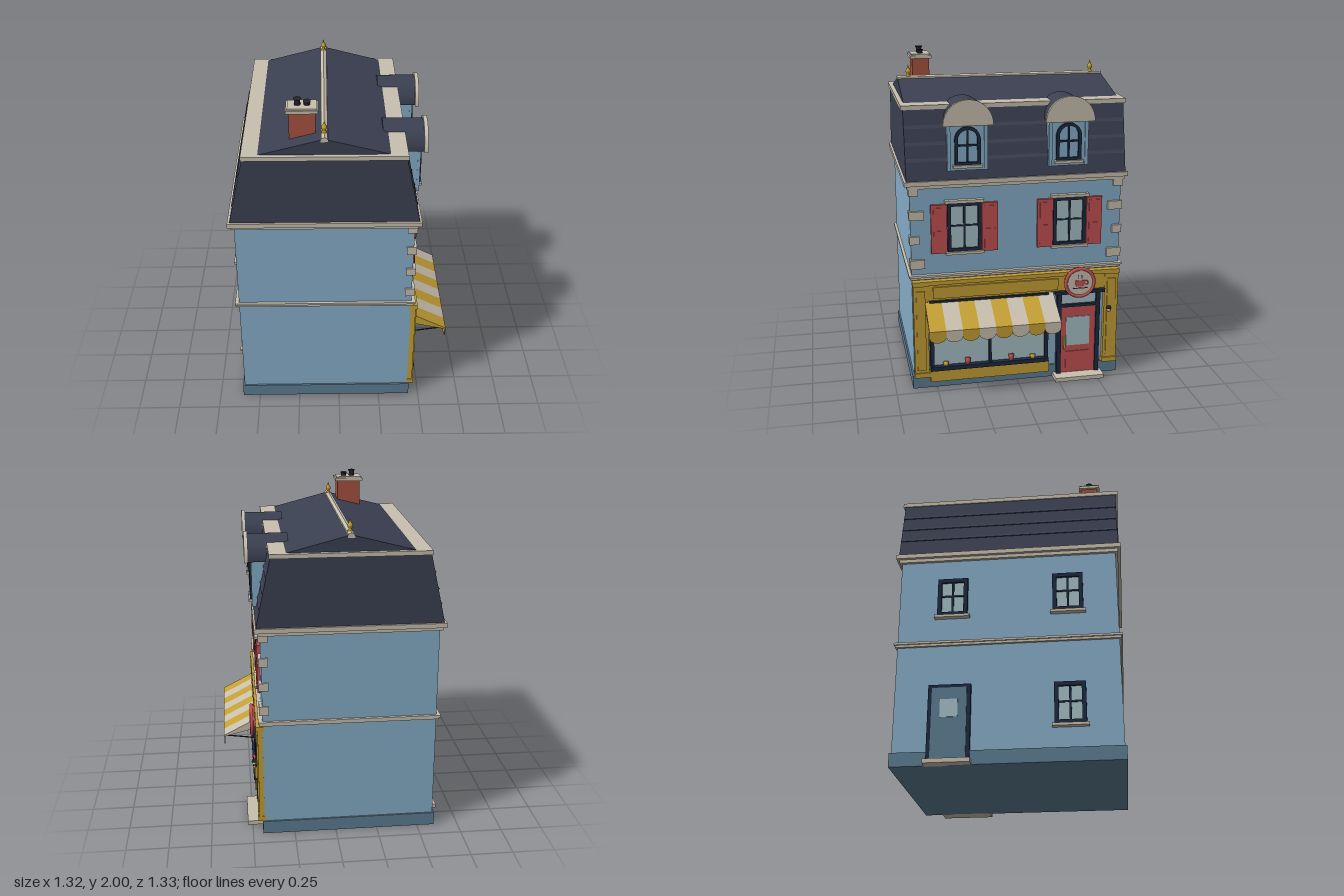
import * as THREE from 'three';

const mat = (name, color) => {
  const m = new THREE.MeshStandardMaterial({ color });
  m.name = name;
  return m;
};

export function createModel() {
  const blue = mat('wallBlue', 0x86adc8), plinth = mat('plinthBlue', 0x5d7d93), cream = mat('creamStone', 0xc8bfae);
  const gold = mat('mustard', 0xc4a034), navy = mat('navy', 0x1e2a40), slate = mat('slate', 0x3b4052);
  const red = mat('red', 0xc25152), brick = mat('brick', 0xa6533f), glass = mat('glass', 0xa6bfc6), black = mat('iron', 0x25262d);
  const root = new THREE.Group();

  const add = (name, geo, m, parent = root) => {
    const mesh = new THREE.Mesh(geo, m);
    mesh.name = name;
    parent.add(mesh);
    return mesh;
  };
  const group = (name) => {
    const g = new THREE.Group();
    g.name = name;
    root.add(g);
    return g;
  };
  // Box from its limits on each axis
  const box = (name, m, x0, x1, y0, y1, z0, z1, parent) =>
    add(name, new THREE.BoxGeometry(x1 - x0, y1 - y0, Math.abs(z1 - z0))
      .translate((x0 + x1) / 2, (y0 + y1) / 2, (z0 + z1) / 2), m, parent);
  const poly = (pts) => new THREE.Shape(pts.map(([x, y]) => new THREE.Vector2(x, y)));
  const extrude = (shape, depth) =>
    new THREE.ExtrudeGeometry(shape, { depth, bevelEnabled: false, curveSegments: 20 });
  // Profile in x-y, run along z
  const alongZ = (name, m, pts, z0, z1, parent) =>
    add(name, extrude(poly(pts), z1 - z0).translate(0, 0, z0), m, parent);
  // Outline drawn on a plane facing +x (u = -z), run along x
  const alongX = (name, m, shape, x0, x1, z, parent) =>
    add(name, extrude(shape, x1 - x0).rotateY(Math.PI / 2).translate(x0, 0, z), m, parent);
  const rod = (name, m, a, b, r, parent) =>
    add(name, new THREE.TubeGeometry(new THREE.LineCurve3(new THREE.Vector3(...a), new THREE.Vector3(...b)), 1, r, 6), m, parent);
  const lathe = (name, m, pts, x, y, z, parent) =>
    add(name, new THREE.LatheGeometry(pts.map(([r, h]) => new THREE.Vector2(r, h)), 16).translate(x, y, z), m, parent);

  // Walls, plinth and string courses
  box('walls', blue, -0.595, 0.43, 0.02, 1.28, -0.635, 0.635);
  box('plinth', plinth, -0.605, 0.44, 0, 0.08, -0.645, 0.645);
  box('stringCourse', cream, -0.61, 0.447, 0.708, 0.722, -0.645, 0.645);
  box('stringCourseTop', cream, -0.618, 0.455, 0.722, 0.735, -0.652, 0.652);
  box('corniceLower', cream, -0.612, 0.448, 1.262, 1.283, -0.65, 0.65);
  box('corniceUpper', cream, -0.63, 0.466, 1.283, 1.31, -0.667, 0.667);

  // Corner quoins, alternating long and short
  [[0.775, 0.83, 0.555], [0.927, 0.975, 0.585], [1.075, 1.127, 0.555], [1.222, 1.262, 0.585]].forEach(([y0, y1, z]) => {
    for (const s of [1, -1]) box('quoin', cream, 0.39, 0.447, y0, y1, s * z, s * 0.643);
  });

  // Mansard with slate courses, curb and low gabled top
  alongZ('mansard', slate, [[-0.617, 1.31], [0.455, 1.31], [0.368, 1.712], [-0.527, 1.712]], -0.653, 0.653);
  [1.42, 1.51, 1.605].forEach((y) => {
    const t = (y - 1.31) / 0.402, xr = 0.455 - 0.087 * t, xl = -0.617 + 0.09 * t;
    alongZ('slateCourseFront', slate, [[xr - 0.01, y], [xr + 0.007, y], [xr - 0.005, y + 0.02], [xr - 0.015, y + 0.02]], -0.653, 0.653);
    alongZ('slateCourseBack', slate, [[xl + 0.01, y], [xl + 0.015, y + 0.02], [xl + 0.005, y + 0.02], [xl - 0.007, y]], -0.653, 0.653);
  });
  box('roofCurb', cream, -0.533, 0.375, 1.71, 1.735, -0.666, 0.666);
  alongZ('upperRoof', slate, [[-0.445, 1.734], [0.283, 1.734], [-0.08, 1.828]], -0.64, 0.64);
  alongZ('ridgeCap', cream, [[-0.101, 1.812], [-0.059, 1.812], [-0.062, 1.832], [-0.08, 1.84], [-0.098, 1.832]], -0.643, 0.643);
  for (const z of [0.573, -0.573])
    lathe('finial', gold, [[0, 0], [0.015, 0], [0.015, 0.008], [0.007, 0.014], [0.016, 0.03], [0.016, 0.038], [0.006, 0.054], [0, 0.075]], -0.08, 1.832, z);

  // Chimney
  const chimney = group('chimney');
  box('chimneyStack', brick, -0.272, -0.127, 1.74, 1.94, 0.438, 0.542, chimney);
  box('chimneyCap', cream, -0.288, -0.112, 1.935, 1.953, 0.424, 0.556, chimney);
  box('chimneyCapTop', cream, -0.279, -0.121, 1.953, 1.962, 0.433, 0.547, chimney);
  [[-0.224, 0.045], [-0.172, 0.03]].forEach(([x, h]) =>
    lathe('chimneyPot', black, [[0, 0], [0.018, 0], [0.016, h - 0.01], [0.021, h - 0.008], [0.021, h], [0, h]], x, 1.955, 0.49, chimney));

  // Arched outlines for the dormers
  const archShape = (w, y0, yc) => {
    const s = new THREE.Shape();
    s.moveTo(-w, y0);
    s.lineTo(w, y0);
    s.lineTo(w, yc);
    s.absarc(0, yc, w, 0, Math.PI, false);
    s.lineTo(-w, y0);
    return s;
  };
  for (const z of [0.298, -0.298]) {
    const d = group('dormer');
    box('dormerBody', blue, 0.3, 0.458, 1.365, 1.64, z - 0.115, z + 0.115, d);
    for (const s of [1, -1]) box('dormerJamb', blue, 0.45, 0.466, 1.365, 1.64, z + s * 0.098, z + s * 0.118, d);
    alongX('dormerRoof', slate, archShape(0.127, 1.632, 1.641), 0.25, 0.492, z, d);
    const rim = archShape(0.145, 1.632, 1.636);
    rim.holes.push(archShape(0.128, 1.631, 1.636));
    alongX('dormerRim', cream, rim, 0.482, 0.504, z, d);
    const frame = archShape(0.075, 1.4, 1.546);
    frame.holes.push(archShape(0.057, 1.415, 1.546));
    alongX('dormerWindowFrame', navy, frame, 0.455, 0.476, z, d);
    box('dormerMullion', navy, 0.455, 0.47, 1.41, 1.61, z - 0.005, z + 0.005, d);
    box('dormerBar', navy, 0.455, 0.47, 1.507, 1.517, z - 0.06, z + 0.06, d);
    box('dormerSill', cream, 0.455, 0.484, 1.383, 1.399, z - 0.086, z + 0.086, d);
  }

  // Rectangular window on the front (s = 1) or back (s = -1) wall
  const sashWindow = (name, s, wall, z, w, y0, y1, t) => {
    const g = group(name);
    const b = (n, m, d0, d1, ya, yb, za, zb) =>
      box(n, m, Math.min(wall + s * d0, wall + s * d1), Math.max(wall + s * d0, wall + s * d1), ya, yb, z + za, z + zb, g);
    b('pane', glass, -0.005, 0.006, y0, y1, -w + 0.01, w - 0.01);
    for (const k of [1, -1]) b('frameSide', navy, -0.005, 0.02, y0, y1, k * w, k * (w - t));
    b('frameTop', navy, -0.005, 0.02, y1 - t, y1, -w, w);
    b('frameBottom', navy, -0.005, 0.02, y0, y0 + t, -w, w);
    b('mullion', navy, -0.005, 0.014, y0, y1, -0.006, 0.006);
    b('glazingBar', navy, -0.005, 0.012, (y0 + y1) / 2 + 0.004, (y0 + y1) / 2 + 0.014, -w, w);
    b('sill', cream, -0.005, 0.034, y0 - 0.014, y0 + 0.002, -w - 0.014, w + 0.014);
    return b;
  };
  for (const z of [0.318, -0.318]) {
    const b = sashWindow('upperWindow', 1, 0.43, z, 0.1, 0.87, 1.168, 0.02);
    b('lintel', cream, -0.005, 0.03, 1.168, 1.186, -0.115, 0.115);
    for (const k of [1, -1]) {
      b('shutter', red, -0.005, 0.02, 0.865, 1.162, k * 0.103, k * 0.198);
      for (const y of [0.885, 1.025]) b('shutterPanel', red, 0.01, 0.025, y, y + 0.12, k * 0.118, k * 0.183);
    }
  }
  sashWindow('backWindow', -1, -0.595, -0.32, 0.088, 0.895, 1.135, 0.024);
  sashWindow('backWindow', -1, -0.595, 0.35, 0.088, 0.895, 1.135, 0.024);
  sashWindow('backWindow', -1, -0.595, 0.35, 0.088, 0.21, 0.455, 0.024);

  // Back door
  box('backDoorFrame', navy, -0.615, -0.59, 0.02, 0.465, -0.44, -0.2);
  box('backDoor', plinth, -0.62, -0.6, 0.025, 0.445, -0.418, -0.222);
  box('backDoorPane', glass, -0.624, -0.61, 0.27, 0.375, -0.37, -0.27);
  box('backStep', cream, -0.66, -0.59, 0, 0.025, -0.45, -0.19);

  // Shopfront surround
  const shop = group('shopfront');
  for (const s of [1, -1]) {
    box('pilaster', gold, 0.42, 0.46, 0.08, 0.7, s * 0.545, s * 0.632, shop);
    box('pilasterPanel', gold, 0.45, 0.468, 0.13, 0.64, s * 0.562, s * 0.615, shop);
    box('pilasterFoot', gold, 0.42, 0.468, 0.08, 0.11, s * 0.54, s * 0.636, shop);
    box('pilasterHead', gold, 0.42, 0.47, 0.67, 0.7, s * 0.54, s * 0.636, shop);
  }
  box('fascia', gold, 0.42, 0.456, 0.575, 0.69, -0.545, 0.545, shop);
  box('fasciaTrim', gold, 0.42, 0.468, 0.675, 0.7, -0.545, 0.545, shop);
  box('fasciaPanel', gold, 0.45, 0.466, 0.588, 0.66, -0.25, 0.515, shop);
  box('stallRiser', gold, 0.42, 0.472, 0.05, 0.122, -0.197, 0.54, shop);

  // Display window
  box('shopGlass', glass, 0.42, 0.448, 0.14, 0.56, -0.18, 0.525, shop);
  for (const [z0, z1] of [[0.515, 0.538], [0.163, 0.179], [-0.192, -0.17]]) box('shopMullion', navy, 0.42, 0.468, 0.125, 0.57, z0, z1, shop);
  box('shopFrameTop', navy, 0.42, 0.468, 0.55, 0.574, -0.192, 0.538, shop);
  box('shopTransom', navy, 0.42, 0.462, 0.44, 0.452, -0.192, 0.538, shop);
  box('shopFrameBottom', navy, 0.42, 0.48, 0.122, 0.148, -0.192, 0.538, shop);
  [[0.445, gold, 0.022], [0.31, red, 0.036], [0.04, red, 0.036], [-0.095, gold, 0.022]].forEach(([z, m, h]) =>
    lathe('displayCup', m, [[0, 0], [0.012, 0], [0.018, h], [0, h]], 0.462, 0.148, z, shop));

  // Street door
  const door = group('streetDoor');
  for (const [z0, z1] of [[-0.248, -0.274], [-0.493, -0.519]]) box('doorJamb', navy, 0.42, 0.466, 0.02, 0.575, z0, z1, door);
  box('doorHeader', navy, 0.42, 0.478, 0.557, 0.578, -0.545, -0.23, door);
  box('doorTransomBar', navy, 0.42, 0.464, 0.468, 0.485, -0.5, -0.26, door);
  box('doorTransomGlass', glass, 0.42, 0.446, 0.48, 0.56, -0.5, -0.26, door);
  box('doorLeaf', red, 0.42, 0.454, 0.025, 0.47, -0.495, -0.272, door);
  box('doorPane', glass, 0.45, 0.459, 0.21, 0.4, -0.456, -0.307, door);
  box('doorPanel', red, 0.45, 0.46, 0.06, 0.17, -0.456, -0.307, door);
  box('doorHandle', gold, 0.45, 0.474, 0.19, 0.27, -0.3, -0.29, door);
  box('doorStep', cream, 0.43, 0.53, 0, 0.026, -0.537, -0.228, door);

  // Striped awning with scalloped valance and side cheeks
  const awning = group('awning');
  const n = 8, zA = -0.222, w = 0.785 / n;
  for (let i = 0; i < n; i++) {
    const m = i % 2 ? gold : cream, z = zA + i * w;
    alongZ('awningStripe', m, [[0.45, 0.558], [0.54, 0.51], [0.654, 0.455], [0.66, 0.463], [0.545, 0.522], [0.45, 0.572]], z, z + w, awning);
    const scallop = new THREE.Shape();
    scallop.moveTo(-w / 2, 0.463);
    scallop.lineTo(-w / 2, 0.425);
    scallop.absellipse(0, 0.425, w / 2, 0.035, Math.PI, Math.PI * 2, false);
    scallop.lineTo(w / 2, 0.463);
    alongX('valance', m, scallop, 0.654, 0.66, z + w / 2, awning);
  }
  const cheek = [[0.466, 0.5], [0.655, 0.455], [0.545, 0.512], [0.466, 0.555]];
  alongZ('awningCheek', gold, cheek, 0.557, 0.562, awning);
  alongZ('awningCheek', cream, cheek, -0.221, -0.216, awning);
  for (const z of [0.54, -0.2]) rod('awningArm', black, [0.45, 0.425, z], [0.655, 0.455, z], 0.004, awning);

  // Round hanging sign with a cup
  const sign = group('roundSign');
  const disc = (name, m, r, x0, x1) =>
    add(name, new THREE.CylinderGeometry(r, r, x1 - x0, 40).rotateZ(Math.PI / 2).translate((x0 + x1) / 2, 0.635, -0.38), m, sign);
  disc('signBack', red, 0.094, 0.47, 0.488);
  disc('signFace', cream, 0.082, 0.48, 0.492);
  add('signRing', new THREE.TorusGeometry(0.088, 0.011, 10, 40).rotateY(Math.PI / 2).translate(0.488, 0.635, -0.38), red, sign);
  rod('signBracket', black, [0.43, 0.635, -0.38], [0.475, 0.635, -0.38], 0.012, sign);
  alongX('signCup', red, poly([[-0.024, 0.612], [0.024, 0.612], [0.036, 0.65], [-0.036, 0.65]]), 0.49, 0.496, -0.38, sign);
  add('signCupHandle', new THREE.TorusGeometry(0.012, 0.003, 6, 16).rotateY(Math.PI / 2).translate(0.493, 0.635, -0.418), red, sign);
  box('signSaucer', navy, 0.49, 0.495, 0.598, 0.603, -0.425, -0.335, sign);
  for (const z of [-0.37, -0.39]) box('signSteam', navy, 0.49, 0.495, 0.662, 0.685, z - 0.002, z + 0.002, sign);

  // Wall lamp beside the door
  const lamp = group('wallLamp');
  rod('lampArm', black, [0.455, 0.455, -0.57], [0.485, 0.455, -0.57], 0.006, lamp);
  lathe('lampShade', black, [[0, 0], [0.016, 0], [0.012, 0.014], [0, 0.018]], 0.482, 0.448, -0.57, lamp);
  add('lampGlobe', new THREE.SphereGeometry(0.012, 12, 8).translate(0.482, 0.438, -0.57), cream, lamp);

  return root;
}
